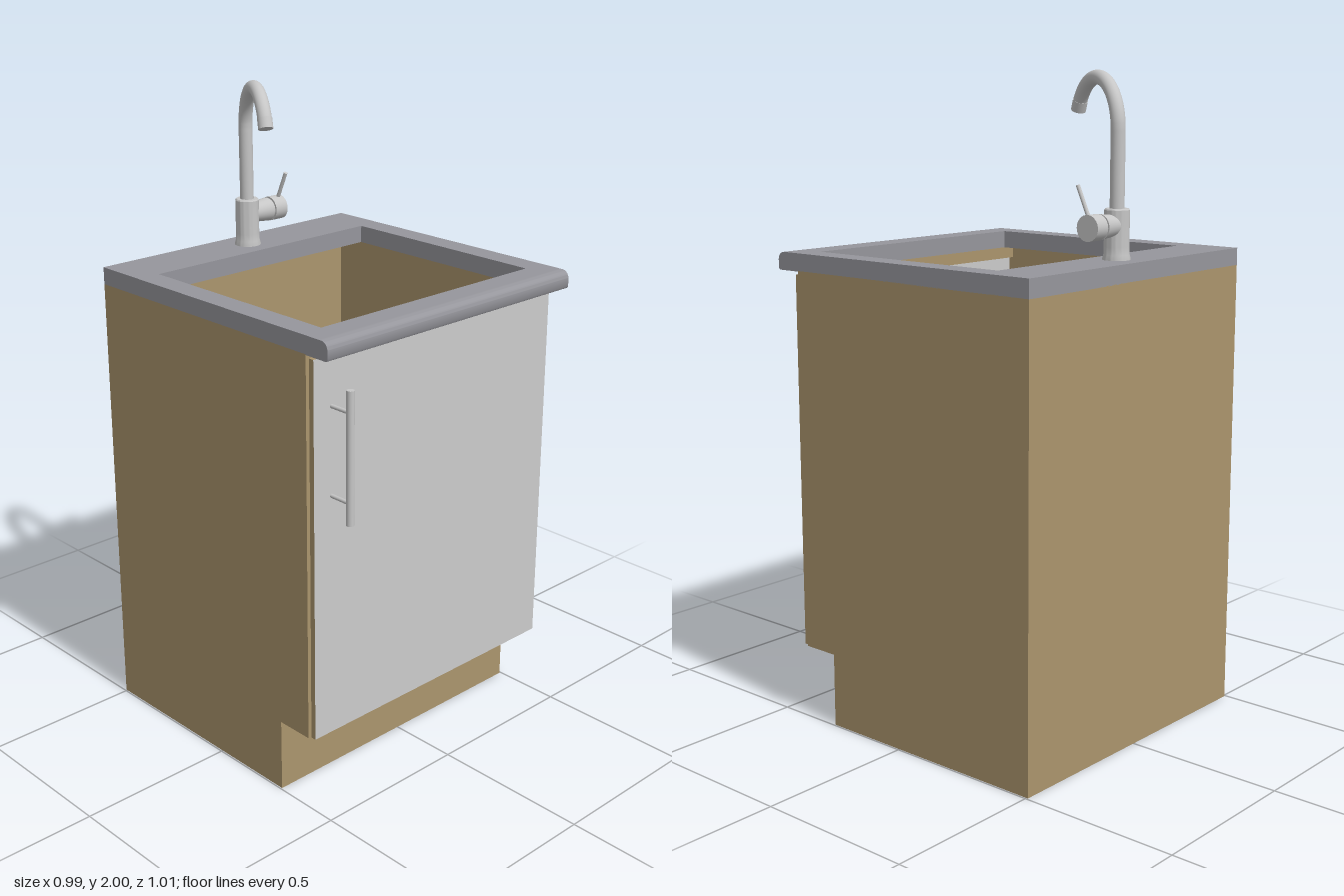
import * as THREE from 'three';
import { toCreasedNormals } from 'three/addons/utils/BufferGeometryUtils.js';

const paint = (name, color) => {
  const m = new THREE.MeshStandardMaterial({ color, side: THREE.DoubleSide });
  m.name = name;
  return m;
};

export function createModel() {
  const wood = paint('tanBoard', 0xab956d);
  const stone = paint('greyWorktop', 0x96969c);
  const white = paint('doorFace', 0xcbcbcb);
  const metal = paint('brushedMetal', 0xc6c6c6);
  const model = new THREE.Group();
  model.name = 'sinkCabinet';

  const add = (name, geo, mat, parent = model) => {
    const mesh = new THREE.Mesh(geo, mat);
    mesh.name = name;
    parent.add(mesh);
    return mesh;
  };
  // box given by its limits on each axis
  const box = (name, [x0, x1], [y0, y1], [z0, z1], mat, parent) => {
    const g = new THREE.BoxGeometry(x1 - x0, y1 - y0, z1 - z0);
    g.translate((x0 + x1) / 2, (y0 + y1) / 2, (z0 + z1) / 2);
    return add(name, g, mat, parent);
  };
  // round rod between two points
  const rod = (name, a, b, r, mat, parent, r2 = r) => {
    const p = new THREE.Vector3(...a), q = new THREE.Vector3(...b);
    const d = q.clone().sub(p);
    const mesh = add(name, new THREE.CylinderGeometry(r2, r, d.length(), 32), mat, parent);
    mesh.position.copy(p).add(q).multiplyScalar(0.5);
    mesh.quaternion.setFromUnitVectors(new THREE.Vector3(0, 1, 0), d.normalize());
    return mesh;
  };
  const group = (name) => {
    const g = new THREE.Group();
    g.name = name;
    model.add(g);
    return g;
  };

  // carcass: open at the front, standing on a set-back plinth
  const W = 0.495, T = 0.025, back = -0.505, front = 0.4;
  const carcass = group('carcass');
  box('plinth', [-W, W], [0, 0.23], [back, 0.28], wood, carcass);
  box('floor', [-W + T, W - T], [0.23, 0.255], [back + T, front], wood, carcass);
  for (const s of [-1, 1]) {
    const xs = s < 0 ? [-W, -W + T] : [W - T, W];
    box(s < 0 ? 'rightSide' : 'leftSide', xs, [0.23, 1.41], [back, front], wood, carcass);
  }
  box('backPanel', [-W + T, W - T], [0.23, 1.41], [back, back + T], wood, carcass);
  box('frontRail', [-W + T, W - T], [1.37, 1.41], [front - 0.015, front], wood, carcass);

  // door: tan edges, pale faces front and back
  box('door', [-0.486, 0.486], [0.23, 1.397], [0.403, 0.42],
    [wood, wood, wood, wood, white, white]);

  // bar handle
  const handle = group('handle');
  rod('handleBar', [-0.42, 0.92, 0.494], [-0.42, 1.315, 0.494], 0.0115, metal, handle);
  for (const y of [0.985, 1.25]) {
    rod('handlePost', [-0.42, y, 0.42], [-0.42, y, 0.49], 0.006, metal, handle);
  }

  // worktop with a rectangular cut-out and a rounded front nose
  const worktop = group('worktop');
  const slab = new THREE.Shape([[-W, -0.45], [W, -0.45], [W, -back], [-W, -back]]
    .map(([x, y]) => new THREE.Vector2(x, y)));
  slab.holes.push(new THREE.Path([[-0.42, -0.38], [-0.42, 0.33], [0.42, 0.33], [0.42, -0.38]]
    .map(([x, y]) => new THREE.Vector2(x, y))));
  const slabGeo = new THREE.ExtrudeGeometry(slab, { depth: 0.055, bevelEnabled: false });
  slabGeo.rotateX(-Math.PI / 2).translate(0, 1.408, 0);
  add('worktopSlab', slabGeo, stone, worktop);

  const nose = new THREE.Shape();
  nose.moveTo(0.45, 1.408);
  nose.lineTo(0.477, 1.408);
  nose.absarc(0.477, 1.416, 0.008, -Math.PI / 2, 0, false);
  nose.lineTo(0.485, 1.438);
  nose.absarc(0.46, 1.438, 0.025, 0, Math.PI / 2, false);
  nose.lineTo(0.45, 1.463);
  const noseGeo = new THREE.ExtrudeGeometry(nose, { depth: 2 * W, bevelEnabled: false, curveSegments: 10 });
  noseGeo.rotateY(-Math.PI / 2).translate(W, 0, 0);
  add('worktopNose', toCreasedNormals(noseGeo, 0.6), stone, worktop);

  // drain: flanged cup with a six-slot strainer
  const drain = group('drain');
  drain.position.set(0, 1.13, 0.03);
  const cup = [[0, -0.06], [0.03, -0.06], [0.045, -0.045], [0.052, -0.008], [0.073, -0.006],
    [0.073, -0.002], [0.068, 0], [0.056, 0], [0.052, -0.004], [0.048, -0.025], [0.042, -0.04], [0, -0.04]];
  const cupGeo = new THREE.LatheGeometry(cup.map(([x, y]) => new THREE.Vector2(x, y)), 48);
  add('drainCup', toCreasedNormals(cupGeo, 0.5), metal, drain);
  const plate = new THREE.Shape().absarc(0, 0, 0.043, 0, Math.PI * 2, false);
  for (let i = 0; i < 6; i++) {
    const a = (i * Math.PI) / 3 + Math.PI / 6;
    plate.holes.push(new THREE.Path().absellipse(
      0.022 * Math.cos(a), 0.022 * Math.sin(a), 0.011, 0.006, 0, Math.PI * 2, true, a));
  }
  const plateGeo = new THREE.ExtrudeGeometry(plate, { depth: 0.003, bevelEnabled: false, curveSegments: 24 });
  plateGeo.rotateX(-Math.PI / 2).translate(0, -0.025, 0);
  add('strainer', toCreasedNormals(plateGeo, 0.6), metal, drain);
  add('strainerKnob', new THREE.SphereGeometry(0.005, 16, 10), metal, drain).position.y = -0.021;

  // tap: flared body, side mixer and swan-neck spout
  const tap = group('tap');
  tap.position.set(0, 0, -0.415);
  const body = [[0, 1.46], [0.041, 1.46], [0.041, 1.467], [0.038, 1.478], [0.037, 1.5],
    [0.037, 1.606], [0.034, 1.61], [0, 1.61]];
  const bodyGeo = new THREE.LatheGeometry(body.map(([x, y]) => new THREE.Vector2(x, y)), 40);
  add('tapBody', toCreasedNormals(bodyGeo, 0.5), metal, tap);

  rod('mixerArm', [0.01, 1.562, 0], [0.083, 1.562, 0], 0.03, metal, tap, 0.037);
  rod('mixerGap', [0.083, 1.562, 0], [0.092, 1.562, 0], 0.032, metal, tap);
  rod('mixerCap', [0.09, 1.562, 0], [0.137, 1.562, 0], 0.038, metal, tap);
  rod('lever', [0.122, 1.585, 0.004], [0.122, 1.68, 0.047], 0.006, metal, tap);

  // spout lies in a vertical plane turned toward the front right corner
  const R = 0.146, cy = 1.832, r = 0.0215, end = 0.36;
  const dir = new THREE.Vector3(-0.47, 0, 0.883);
  const at = (d, y) => dir.clone().multiplyScalar(d).setY(y);
  const arcAt = (a) => at(R + R * Math.cos(a), cy + R * Math.sin(a));
  const path = new THREE.CurvePath();
  path.add(new THREE.LineCurve3(at(0, 1.6), at(0, cy)));
  const arcPoints = [];
  for (let i = 0; i <= 16; i++) arcPoints.push(arcAt(Math.PI + (end - Math.PI) * (i / 16)));
  path.add(new THREE.CatmullRomCurve3(arcPoints));
  add('spout', new THREE.TubeGeometry(path, 64, r, 24), metal, tap);
  rod('spoutNozzle', arcAt(end + 0.2).toArray(), arcAt(end - 0.02).toArray(), r + 0.001, metal, tap);

  return model;
}
